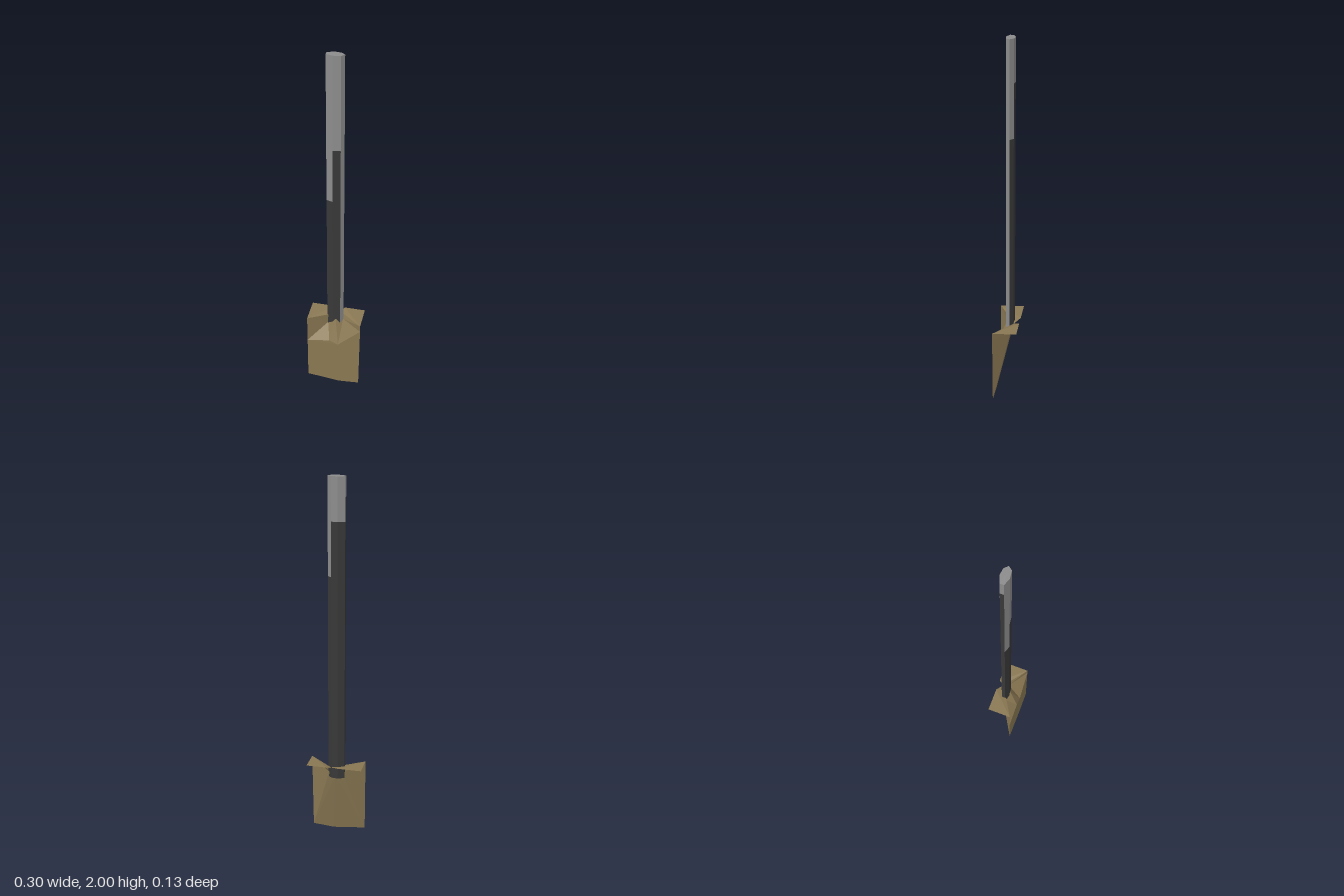
import * as THREE from 'three';

const blade = new THREE.MeshStandardMaterial({ color: 0x8a7853, flatShading: true, side: THREE.DoubleSide });
blade.name = 'bronze';
const grey = new THREE.MeshStandardMaterial({ color: 0x8c8c8c, flatShading: true });
grey.name = 'light grey';
const dark = new THREE.MeshStandardMaterial({ color: 0x383838, flatShading: true });
dark.name = 'dark grey';

// Mesh from named corners; each face is a polygon split as a fan
function sheet(name, points, faces, material) {
  const pos = [];
  for (const face of faces) {
    const p = face.split(' ').map((k) => points[k]);
    for (let i = 1; i < p.length - 1; i++) pos.push(...p[0], ...p[i], ...p[i + 1]);
  }
  return solid(name, pos, material);
}

function solid(name, pos, material) {
  const g = new THREE.BufferGeometry();
  g.setAttribute('position', new THREE.Float32BufferAttribute(pos, 3));
  g.computeVertexNormals();
  const m = new THREE.Mesh(g, material);
  m.name = name;
  return m;
}

// Flattened pole; every side changes from dark to light at its own height
function makeHandle() {
  const ring = [[-0.05, -0.02], [-0.015, -0.034], [0.02, -0.03], [0.04, -0.012], [0.025, 0.008], [-0.015, 0.013], [-0.05, 0]];
  const change = [1.78, 1.78, 1.5, 0.37, 1.5, 1.2, 1.9];
  const y0 = 0.37, y1 = 2;
  const light = [], shade = [];
  const strip = (out, a, b, lo, hi) => {
    if (hi - lo < 0.001) return;
    const at = (p, y) => [p[0], y, p[1]];
    out.push(...at(a, lo), ...at(a, hi), ...at(b, hi), ...at(a, lo), ...at(b, hi), ...at(b, lo));
  };
  ring.forEach((a, i) => {
    const b = ring[(i + 1) % ring.length];
    strip(shade, a, b, y0, change[i]);
    strip(light, a, b, change[i], y1);
    // End caps
    light.push(-0.005, y1, -0.01, b[0], y1, b[1], a[0], y1, a[1]);
    shade.push(-0.005, y0, -0.01, a[0], y0, a[1], b[0], y0, b[1]);
  });
  const g = new THREE.Group();
  g.name = 'handle';
  g.add(solid('handleLight', light, grey), solid('handleDark', shade, dark));
  return g;
}

function makeBlade() {
  const p = {
    // Cutting edge and front plate
    bl: [-0.15, 0.02, 0.065], bm: [0.03, 0, 0.065], br: [0.145, 0.01, 0.065],
    ml: [-0.15, 0.28, 0.065], a: [-0.025, 0.3, 0.064], b: [0.025, 0.28, 0.065],
    tl: [-0.15, 0.44, 0.065], tr: [0.15, 0.44, 0.065], mr: [0.15, 0.4, 0.065],
    // Folds around the handle
    hl: [-0.045, 0.38, 0], c: [0, 0.42, 0.013], hr: [0.038, 0.41, -0.01], n: [0.02, 0.435, -0.035],
    // Rear corners of the foot rests
    wl: [-0.15, 0.447, -0.065], nl: [-0.022, 0.447, -0.065],
    wr: [0.15, 0.447, -0.065], nr: [0.035, 0.447, -0.065],
    // Back of the socket
    sl: [-0.04, 0.4, -0.02], sr: [0.035, 0.4, -0.02], sm: [0, 0.38, -0.02],
  };
  const g = new THREE.Group();
  g.name = 'blade';
  g.add(
    sheet('bladeFront', p, ['ml bl bm b', 'ml b a', 'b bm br mr'], blade),
    sheet('bladeFolds', p, ['tl ml hl', 'ml a hl', 'hl a c', 'a b c', 'c b hr', 'b mr hr', 'mr tr hr'], blade),
    sheet('footRests', p, ['tl hl n nl wl', 'tr wr nr n', 'tr n hr'], blade),
    sheet('bladeBack', p, ['tl sl bl', 'sl sm bl', 'bl sm bm', 'sm br bm', 'sm sr br', 'sr mr br', 'sr tr mr'], blade),
  );
  return g;
}

export function createModel() {
  const model = new THREE.Group();
  model.name = 'shovel';
  model.add(makeHandle(), makeBlade());
  return model;
}
